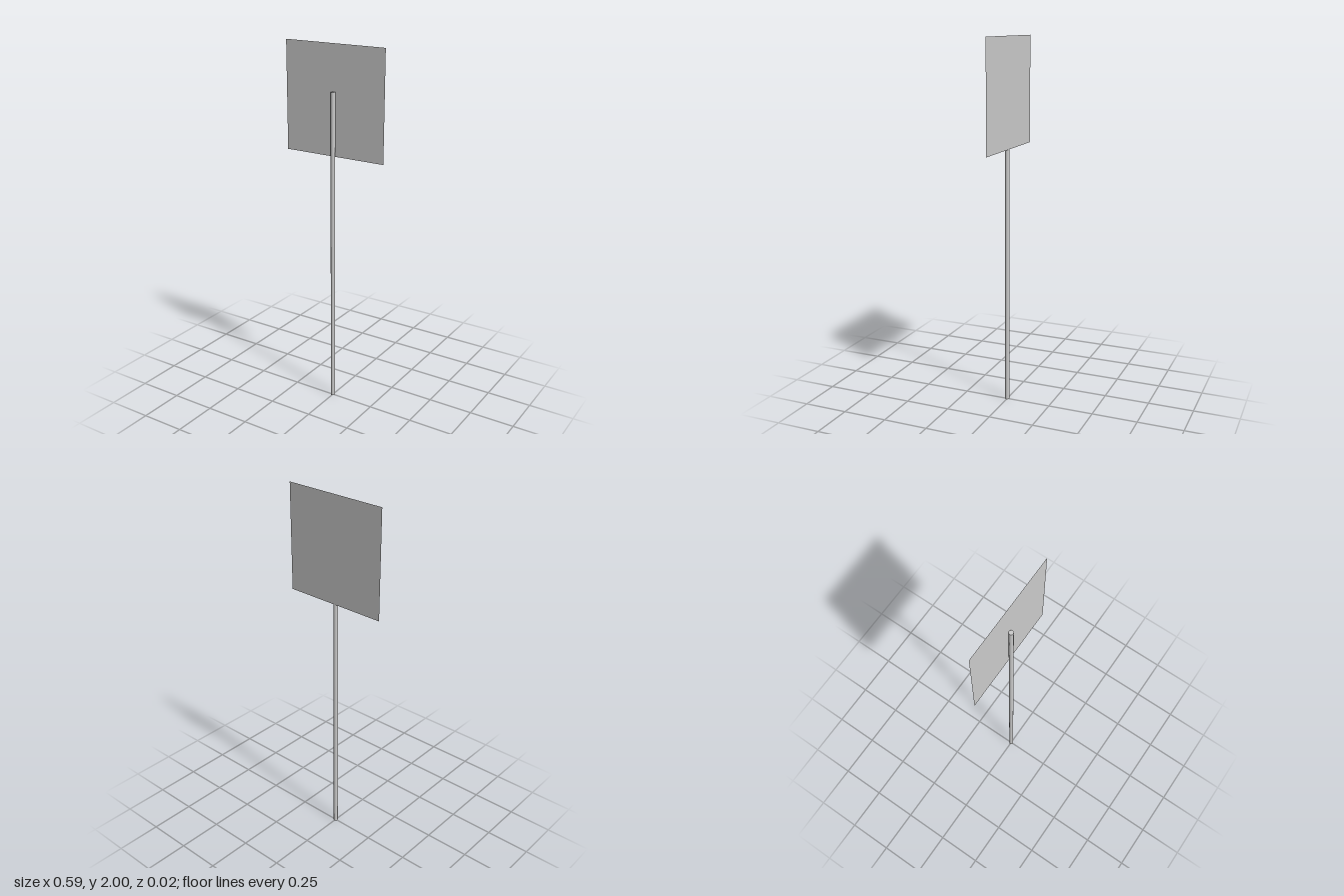
import * as THREE from 'three';

export function createModel() {
  const group = new THREE.Group();
  const radius = 0.012, poleHeight = 1.757;
  const plateWidth = 0.588, plateBottom = 1.417, plateTop = 2;

  // Slim round post standing on the ground
  const pole = new THREE.Mesh(
    new THREE.CylinderGeometry(radius, radius, poleHeight, 24),
    new THREE.MeshStandardMaterial({ color: 0xcccccc })
  );
  pole.name = 'pole';
  pole.position.y = poleHeight / 2;
  group.add(pole);

  // Thin sign plate touching the back of the post
  const plate = new THREE.Mesh(
    new THREE.PlaneGeometry(plateWidth, plateTop - plateBottom),
    new THREE.MeshStandardMaterial({ color: 0xcccccc, side: THREE.DoubleSide })
  );
  plate.name = 'signPlate';
  plate.position.set(0, (plateTop + plateBottom) / 2, -radius);
  group.add(plate);

  return group;
}
